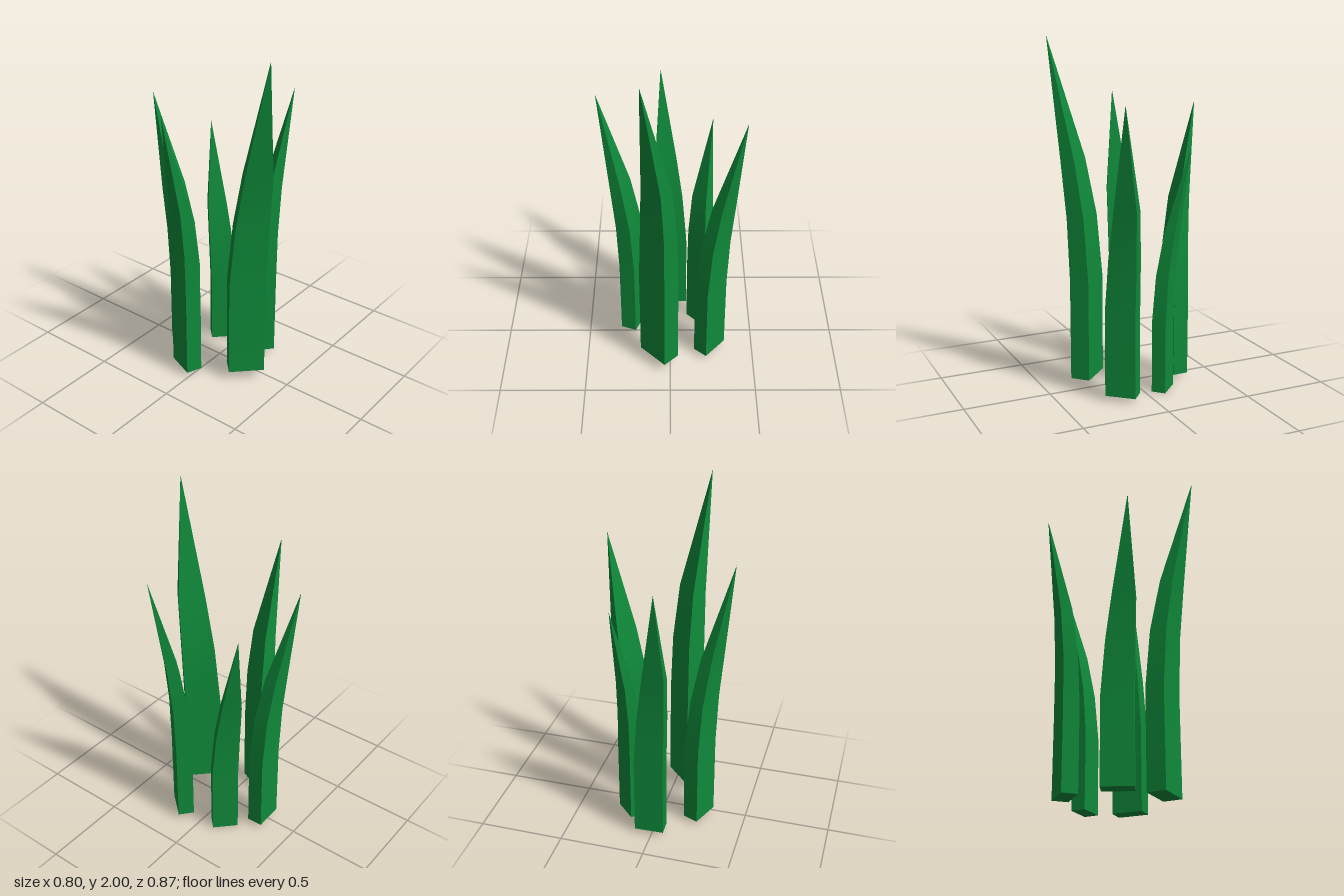
import * as THREE from 'three';

// Blade of height 1: [height, sideways drift, outward drift, section scale]
const SECTIONS = [
  [0, 0, 0, 1],
  [0.3, 0, 0, 1],
  [0.484, 0.01, 0.008, 0.91],
  [0.652, 0.0235, 0.028, 0.735],
  [1, 0.04, 0.098, 0],
];
const WIDTH = 0.107;
const DEPTH = 0.0575;

// Rectangular stalk that leans outward and tapers to a point
function bladeGeometry() {
  const geo = new THREE.BoxGeometry(WIDTH, 1, DEPTH, 1, SECTIONS.length - 1, 1);
  const pos = geo.attributes.position;
  for (let i = 0; i < pos.count; i++) {
    const row = Math.round((pos.getY(i) + 0.5) * (SECTIONS.length - 1));
    const [y, side, out, scale] = SECTIONS[row];
    pos.setXYZ(i, pos.getX(i) * scale + side, y, pos.getZ(i) * scale + out);
  }

  // Drop the triangles that collapse at the tip
  const kept = [];
  const tri = new THREE.Triangle();
  const index = geo.index.array;
  for (let i = 0; i < index.length; i += 3) {
    const [a, b, c] = index.slice(i, i + 3);
    tri.setFromAttributeAndIndices(pos, a, b, c);
    if (tri.getArea() > 1e-7) kept.push(a, b, c);
  }
  geo.setIndex(kept);
  geo.clearGroups();
  geo.computeVertexNormals(); // smooth along each side, sharp at the ridges
  return geo;
}

export function createModel() {
  const group = new THREE.Group();
  group.name = 'grassTuft';
  const geometry = bladeGeometry();
  const material = new THREE.MeshStandardMaterial({ color: 0x0f8a3a });

  // [name, x, base y, z, height, turn]
  const blades = [
    ['frontBlade', -0.066, 0.06, 0.243, 1.94, -0.795],
    ['backBlade', 0.015, 0.028, -0.28, 1.592, -3.112],
    ['rightBlade', -0.226, 0.028, -0.071, 1.642, -1.95],
    ['leftFrontBlade', 0.238, 0.028, 0.155, 1.632, 0.854],
    ['leftBackBlade', 0.186, 0, -0.121, 1.4, 2.356],
  ];
  for (const [name, x, y, z, height, turn] of blades) {
    const blade = new THREE.Mesh(geometry, material);
    blade.name = name;
    blade.position.set(x, y, z);
    blade.rotation.y = turn;
    blade.scale.setScalar(height);
    group.add(blade);
  }
  return group;
}
